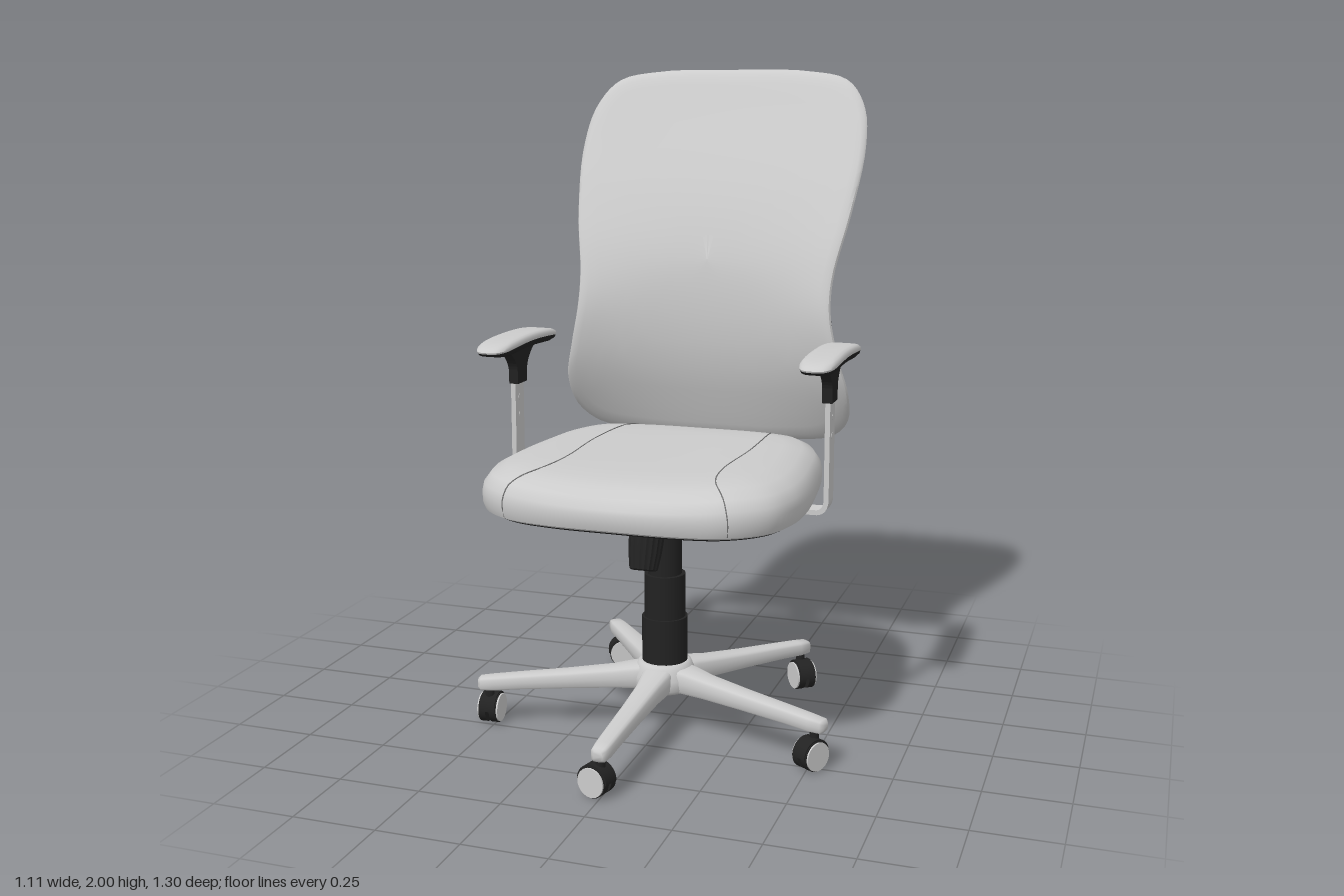
import * as THREE from 'three';
import { toCreasedNormals } from 'three/addons/utils/BufferGeometryUtils.js';
import { RoundedBoxGeometry } from 'three/addons/geometries/RoundedBoxGeometry.js';

const grey = new THREE.MeshStandardMaterial({ color: 0xcccccc });
const dark = new THREE.MeshStandardMaterial({ color: 0x222222 });
const seamGrey = new THREE.MeshStandardMaterial({ color: 0x777777 });
const darkOpen = new THREE.MeshStandardMaterial({ color: 0x222222, side: THREE.DoubleSide });

function add(parent, name, geometry, material, x = 0, y = 0, z = 0) {
  const mesh = new THREE.Mesh(geometry, material);
  mesh.name = name;
  mesh.position.set(x, y, z);
  parent.add(mesh);
  return mesh;
}

// Smooth function through (t, v) samples
function spline(ts, vs) {
  const c = new THREE.CubicInterpolant(ts, vs, 1);
  return t => c.evaluate(t)[0];
}

// Closed solid through rings of equal point count, capped, always facing outwards
function loft(rings, crease = 0.7) {
  const n = rings[0].length, last = (rings.length - 1) * n, pts = rings.flat(), idx = [];
  for (let i = 0; i < rings.length - 1; i++) {
    for (let j = 0; j < n; j++) {
      const a = i * n + j, b = i * n + (j + 1) % n;
      idx.push(a, b, a + n, b, b + n, a + n);
    }
  }
  for (let j = 1; j < n - 1; j++) idx.push(0, j + 1, j, last, last + j, last + j + 1);
  let volume = 0;
  const v = pts.map(p => new THREE.Vector3(...p)), cross = new THREE.Vector3();
  for (let i = 0; i < idx.length; i += 3) volume += v[idx[i]].dot(cross.crossVectors(v[idx[i + 1]], v[idx[i + 2]]));
  if (volume < 0) idx.reverse();
  const g = new THREE.BufferGeometry();
  g.setAttribute('position', new THREE.Float32BufferAttribute(pts.flat(), 3));
  g.setIndex(idx);
  return toCreasedNormals(g.scale(100, 100, 100), crease).scale(0.01, 0.01, 0.01);
}

// Symmetric closed outline from the points of its +x half
function outline(half, count) {
  const mirrored = half.slice(1, -1).reverse().map(([x, y]) => [-x, y]);
  const pts = [...half, ...mirrored].map(([x, y]) => new THREE.Vector3(x, y, 0));
  return new THREE.CatmullRomCurve3(pts, true).getPoints(count).slice(0, count).map(p => [p.x, p.y]);
}

// Concentric copies of an outline; profile holds [scale, height] pairs
function cushion(line, centre, profile, place) {
  return loft(profile.map(([s, h]) => line.map(([u, v]) => place(u * s, centre + (v - centre) * s, h))));
}

// Flat bar along a 2D path
function ribbon(path, width, thick, place) {
  const curve = new THREE.SplineCurve(path.map(p => new THREE.Vector2(...p)));
  const steps = 48;
  return loft(Array.from({ length: steps + 1 }, (_, i) => {
    const p = curve.getPoint(i / steps), t = curve.getTangent(i / steps);
    return [[1, 1], [1, -1], [-1, -1], [-1, 1]].map(([a, b]) =>
      place(p.x - t.y * a * thick / 2, p.y + t.x * a * thick / 2, b * width / 2));
  }));
}

const tube = (pts, r) => new THREE.TubeGeometry(
  new THREE.CatmullRomCurve3(pts.map(p => new THREE.Vector3(...p))), 60, r, 8);

// Backrest surface: side line, plus a hollow that deepens at the lumbar
const backY = [0.8, 0.9, 1, 1.1, 1.25, 1.4, 1.6, 1.8, 1.9, 2];
const sideZ = spline(backY, [-0.43, -0.37, -0.315, -0.278, -0.262, -0.305, -0.4, -0.508, -0.56, -0.607]);
const hollow = spline(backY, [0.01, 0.035, 0.055, 0.068, 0.075, 0.045, 0.02, 0.016, 0.018, 0.02]);
const backZ = (x, y) => sideZ(y) - hollow(y) * (1 - (x / 0.45) ** 2);
const backWidth = spline([0.83, 0.86, 0.9, 1, 1.12, 1.25, 1.36, 1.55, 1.75],
  [0.38, 0.425, 0.458, 0.472, 0.445, 0.42, 0.42, 0.455, 0.475]);
const spinePath = [[-0.497, 1.55], [-0.462, 1.4], [-0.448, 1.2], [-0.474, 1], [-0.508, 0.87],
  [-0.507, 0.78], [-0.47, 0.733], [-0.4, 0.728], [-0.15, 0.728]];
const spineZ = spline([0.87, 1, 1.2, 1.4, 1.55], [-0.508, -0.474, -0.448, -0.462, -0.497]);

function buildBackrest(chair) {
  const back = new THREE.Group();
  back.name = 'backrest';
  chair.add(back);
  const line = outline([[0, 2], [0.25, 1.995], [0.39, 1.965], [0.455, 1.88], [0.475, 1.75], [0.455, 1.55], [0.42, 1.36],
    [0.42, 1.25], [0.445, 1.12], [0.472, 1], [0.46, 0.9], [0.4, 0.84], [0.25, 0.815], [0, 0.81]], 120);
  const front = [0.01, 0.15, 0.3, 0.45, 0.6, 0.72, 0.84, 0.92].map(s => [s, 0]);
  const rim = [[0.965, -0.002], [0.99, -0.008], [1, -0.017], [0.992, -0.027], [0.97, -0.032], [0.945, -0.028], [0.935, -0.016]];
  const rear = [0.84, 0.72, 0.6, 0.45, 0.3, 0.15, 0.01].map(s => [s, -0.016]);
  add(back, 'backShell', cushion(line, 1.4, [...front, ...rim, ...rear], (x, y, h) => [x, y, backZ(x, y) + h]), grey);

  // Support frame: ribs between a top edge, three rounded openings and a bottom edge
  const opening = (c, slope, h) => [1, -1].map(s => u =>
    c + slope * u + s * h * Math.max(0, 1 - Math.abs((u - 0.54) / 0.42) ** 2.5) ** 0.5);
  const edges = [u => 1.53 + 0.12 * u, ...opening(1.475, 0.04, 0.064), ...opening(1.32, 0.01, 0.068),
    ...opening(1.11, -0.01, 0.095), u => 0.97 - 0.12 * u ** 3];
  const us = [0.02, 0.07];
  for (let i = 0; i <= 20; i++) us.push(0.54 - 0.42 * Math.cos(Math.PI * i / 20));
  us.push(1);
  for (const side of [-1, 1]) {
    for (let k = 0; k < edges.length; k += 2) {
      add(back, 'backRib', loft(us.map(u => {
        const hi = edges[k](u), lo = edges[k + 1](u), ys = [hi, (hi + lo) / 2, lo];
        const at = (y, d) => {
          const edge = backWidth(y) - 0.018;
          const z = THREE.MathUtils.lerp(spineZ(y) + 0.01, backZ(edge, y) - 0.026, u ** 1.1);
          return [side * u * edge, y, z - d];
        };
        return [...ys.map(y => at(y, 0)), ...ys.reverse().map(y => at(y, 0.02))];
      })), dark);
    }
  }
  add(back, 'backSpine', ribbon(spinePath, 0.1, 0.027, (z, y, x) => [x, y, z]), dark);
}

function buildSeat(chair) {
  const line = outline([[0, 0.555], [0.2, 0.55], [0.33, 0.52], [0.43, 0.435], [0.468, 0.32], [0.475, 0.2], [0.457, 0],
    [0.425, -0.18], [0.35, -0.31], [0.2, -0.39], [0, -0.415]], 96);
  const top = [[0.01, 0.885], [0.3, 0.885], [0.55, 0.884], [0.75, 0.879], [0.87, 0.868], [0.95, 0.848], [0.99, 0.82], [1, 0.795]];
  // Shallow trough along the middle of the top
  const trough = x => 0.014 * Math.max(0, 1 - (x / 0.32) ** 2);
  const place = (x, z, y) => [x, y > 0.8 ? y - trough(x) : y, z];
  add(chair, 'seatCushion', cushion(line, 0.07, [...top, [0.997, 0.765], [0.985, 0.747], [0.96, 0.74], [0.01, 0.74]], place), grey);
  add(chair, 'seatUnderside', cushion(line, 0.07, [[0.01, 0.742], [0.955, 0.742], [0.94, 0.734], [0.01, 0.734]], place), dark);

  // Stitched seams following the top of the cushion
  const height = spline(top.map(p => p[0]), top.map(p => p[1]));
  const path = new THREE.SplineCurve([[0.2, -0.37], [0.235, -0.27], [0.25, 0], [0.24, 0.25], [0.26, 0.4], [0.32, 0.51]]
    .map(p => new THREE.Vector2(...p)));
  const seam = path.getPoints(24).map(p => {
    const angle = q => Math.atan2(q[1] - 0.07, q[0]), a = angle([p.x, p.y]);
    const near = line.reduce((m, q) => Math.abs(angle(q) - a) < Math.abs(angle(m) - a) ? q : m);
    return [p.x, height(Math.hypot(p.x, p.y - 0.07) / Math.hypot(near[0], near[1] - 0.07)) - trough(p.x), p.y];
  });
  seam.push([0.331, 0.795, 0.521], [0.328, 0.75, 0.512]);
  for (const s of [-1, 1]) add(chair, 'seatSeam', tube(seam.map(([x, y, z]) => [s * x, y, z]), 0.0018), seamGrey);
}

function buildArmrest(chair, side) {
  const arm = new THREE.Group();
  arm.name = side > 0 ? 'leftArmrest' : 'rightArmrest';
  chair.add(arm);
  add(arm, 'armPlate', new THREE.BoxGeometry(0.25, 0.022, 0.22), dark, side * 0.275, 0.725, 0.035);
  add(arm, 'armBar', ribbon([[0.2, 0.716], [0.32, 0.716], [0.44, 0.716], [0.478, 0.719], [0.494, 0.74], [0.496, 0.78],
    [0.496, 0.92], [0.496, 1.08]], 0.062, 0.015, (x, y, z) => [side * x, y, z + 0.033]), grey);
  for (const y of [0.945, 1]) {
    add(arm, 'heightPin', new THREE.CylinderGeometry(0.009, 0.009, 0.017, 14).rotateZ(Math.PI / 2), grey, side * 0.496, y, 0.033);
  }
  // Sleeve flaring up into the pad
  const shape = new THREE.Shape();
  shape.moveTo(-0.034, 1.045).lineTo(0.034, 1.045).lineTo(0.036, 1.09);
  shape.quadraticCurveTo(0.045, 1.13, 0.12, 1.165).lineTo(-0.12, 1.165);
  shape.quadraticCurveTo(-0.045, 1.13, -0.036, 1.09);
  const sleeve = new THREE.ExtrudeGeometry(shape, { depth: 0.03, bevelEnabled: false, curveSegments: 8 });
  add(arm, 'armSleeve', sleeve.translate(0, 0, -0.015).rotateY(-Math.PI / 2), dark, side * 0.494, 0, 0.03);
  // Arched pad
  const pad = outline([[0, 0.227], [0.03, 0.221], [0.047, 0.195], [0.053, 0.15], [0.053, 0], [0.053, -0.15], [0.047, -0.195],
    [0.03, -0.221], [0, -0.227]], 56);
  const place = (x, z, y) => [side * 0.494 + x, y - 0.014 * (z / 0.227) ** 2, z + 0.026];
  add(arm, 'armPad', cushion(pad, 0, [[0.01, 1.2], [0.4, 1.2], [0.7, 1.2], [0.88, 1.197], [0.97, 1.191], [1, 1.184],
    [0.99, 1.179], [0.01, 1.179]], place), grey);
  add(arm, 'armPadBase', cushion(pad, 0, [[0.01, 1.181], [0.99, 1.181], [0.95, 1.17], [0.8, 1.16], [0.01, 1.155]], place), dark);
}

function buildMechanism(chair) {
  add(chair, 'tiltPlate', new THREE.BoxGeometry(0.13, 0.034, 0.46), dark, 0, 0.72, 0.05);
  add(chair, 'tiltHousing', new THREE.BoxGeometry(0.11, 0.03, 0.2), dark, 0, 0.7, 0.17);
  // Fluted tension knob: height along its axis and radius
  const knob = loft([[-0.07, 0.034], [-0.066, 0.041], [-0.02, 0.048], [0.05, 0.053], [0.064, 0.053], [0.07, 0.047]].map(([y, r]) =>
    Array.from({ length: 72 }, (_, i) => {
      const a = i * Math.PI / 36, flute = r * (1 + 0.03 * Math.cos(18 * a));
      return [flute * Math.sin(a), y, flute * Math.cos(a)];
    })));
  add(chair, 'tensionKnob', knob, dark, 0, 0.62, 0.245).rotation.x = -0.3;
  // Height lever
  add(chair, 'leverRod', tube([[-0.08, 0.705, 0.035], [-0.2, 0.7, 0.035], [-0.33, 0.695, 0.035], [-0.367, 0.685, 0],
    [-0.372, 0.64, -0.13]], 0.007), grey);
  add(chair, 'leverPaddle', new RoundedBoxGeometry(0.066, 0.015, 0.125, 3, 0.007), dark, -0.372, 0.627, -0.172).rotation.x = -0.26;
}

function buildBase(chair) {
  const base = new THREE.Group();
  base.name = 'base';
  base.position.z = 0.07;
  chair.add(base);
  // Telescopic column
  for (const [r, y0, y1, m] of [[0.07, 0.2, 0.355, dark], [0.063, 0.355, 0.49, dark], [0.052, 0.49, 0.61, dark], [0.03, 0.6, 0.72, grey]]) {
    add(base, 'column', new THREE.CylinderGeometry(r, r, y1 - y0, 32), m, 0, (y0 + y1) / 2, 0);
  }
  const hub = [[0.001, 0.14], [0.085, 0.125], [0.1, 0.14], [0.098, 0.17], [0.088, 0.195], [0.08, 0.212], [0.07, 0.215], [0.001, 0.215]];
  add(base, 'hub', new THREE.LatheGeometry(hub.map(p => new THREE.Vector2(...p)), 36), grey);

  // Leg sections with a channel underneath: distance, half width, bottom, top, channel depth
  const sections = [[0.03, 0.052, 0.125, 0.208, 0.03], [0.1, 0.046, 0.125, 0.2, 0.03], [0.16, 0.038, 0.124, 0.19, 0.03],
    [0.3, 0.033, 0.121, 0.176, 0.03], [0.45, 0.029, 0.116, 0.164, 0.025], [0.53, 0.027, 0.111, 0.157, 0.01],
    [0.57, 0.023, 0.112, 0.153, 0], [0.578, 0.014, 0.12, 0.146, 0]];
  const legGeometry = loft(sections.map(([r, w, lo, hi, channel]) => Array.from({ length: 16 }, (_, i) => {
    const a = i * Math.PI / 8, c = Math.cos(a), s = Math.sin(a), round = v => Math.sign(v) * Math.sqrt(Math.abs(v));
    return [w * round(c), (lo + hi) / 2 + (hi - lo) / 2 * round(s) + (s < -0.9 ? channel : 0), r];
  })), 0.9);
  const disc = (r, depth, ...arc) => new THREE.CylinderGeometry(r, r, depth, 28, 1, false, ...arc).rotateX(Math.PI / 2);
  for (let i = 0; i < 5; i++) {
    const leg = new THREE.Group();
    leg.name = 'leg';
    leg.rotation.y = i * Math.PI * 0.4;
    base.add(leg);
    add(leg, 'legArm', legGeometry, grey);
    // Twin-wheel caster, slightly turned
    const caster = new THREE.Group();
    caster.name = 'caster';
    caster.position.set(-0.018, 0.047, 0.54);
    caster.rotation.y = -0.25;
    leg.add(caster);
    for (const s of [-1, 1]) {
      add(caster, 'wheel', disc(0.046, 0.022), dark, 0, 0, s * 0.017);
      add(caster, 'wheelCap', disc(0.043, 0.006), grey, 0, 0, s * 0.03);
    }
    add(caster, 'casterHood', disc(0.05, 0.05, Math.PI / 2, Math.PI), darkOpen);
    add(caster, 'casterStem', new THREE.CylinderGeometry(0.014, 0.014, 0.05, 14), dark, 0.014, 0.055, 0);
  }
}

export function createModel() {
  const chair = new THREE.Group();
  chair.name = 'officeChair';
  buildBase(chair);
  buildMechanism(chair);
  buildSeat(chair);
  for (const side of [1, -1]) buildArmrest(chair, side);
  buildBackrest(chair);
  return chair;
}
